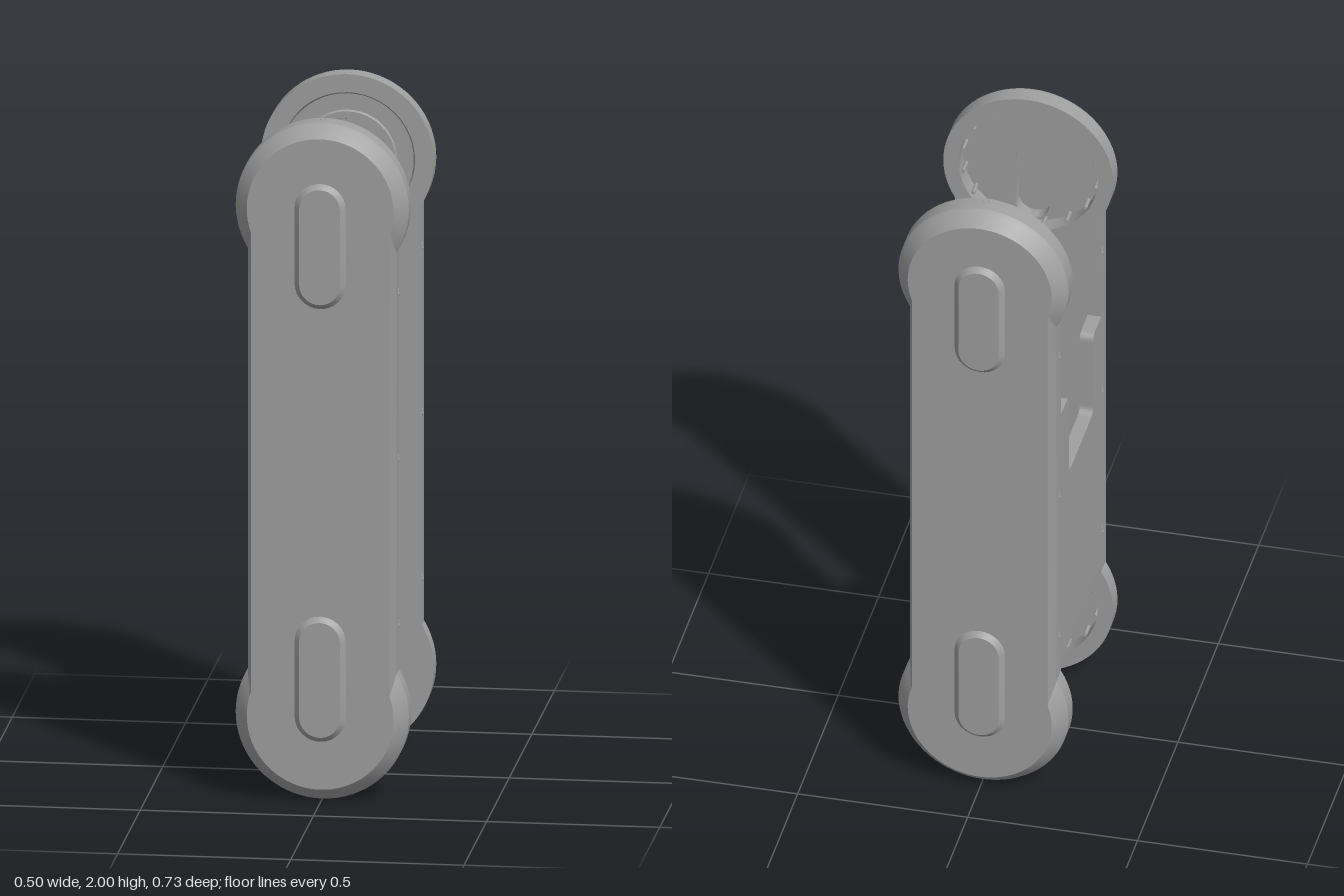
import * as THREE from 'three';
import { toCreasedNormals, mergeVertices } from 'three/addons/utils/BufferGeometryUtils.js';

const R = 0.25, W = 0.215;          // end disc radius, bar half width
const DISC_Y = [0.25, 1.75];        // disc centres
const INNER = 0.25, FLOOR = 0.305, OUTER = 0.35, CAP = 0.365; // depths along z
const RECESS = 0.205;

const metal = new THREE.MeshStandardMaterial({ color: 0xa0a0a0, side: THREE.DoubleSide });
metal.name = 'grey metal';

function add(parent, name, geometry, x = 0, y = 0, z = 0) {
  const mesh = new THREE.Mesh(geometry, metal);
  mesh.name = name;
  mesh.position.set(x, y, z);
  parent.add(mesh);
  return mesh;
}

// Points of an arc, counter-clockwise
function arc(cx, cy, r, from, to, n) {
  return Array.from({ length: n + 1 }, (_, i) => {
    const a = from + (to - from) * i / n;
    return new THREE.Vector2(cx + r * Math.cos(a), cy + r * Math.sin(a));
  });
}

// Bar with a larger disc at each end
function armOutline(r, w) {
  const t = Math.acos(w / r);
  return [
    ...arc(0, DISC_Y[1], r, -t, Math.PI + t, 48),
    ...arc(0, DISC_Y[0], r, Math.PI - t, 2 * Math.PI + t, 48),
  ];
}

// Upright slot with round ends
function slotOutline(y0, y1, r) {
  return [...arc(0, y1 - r, r, 0, Math.PI, 16), ...arc(0, y0 + r, r, Math.PI, 2 * Math.PI, 16)];
}

// Wall through matching loops at given depths
function loft(loops) {
  const n = loops[0].pts.length, pos = [], index = [];
  loops.forEach(({ pts, z }) => pts.forEach(p => pos.push(p.x, p.y, z)));
  for (let k = 0; k < loops.length - 1; k++) {
    for (let i = 0; i < n; i++) {
      const a = k * n + i, b = k * n + (i + 1) % n;
      index.push(a, b, b + n, a, b + n, a + n);
    }
  }
  const g = new THREE.BufferGeometry();
  g.setAttribute('position', new THREE.Float32BufferAttribute(pos, 3));
  g.setIndex(index);
  return toCreasedNormals(mergeVertices(g), 0.4);
}

// Flat face with holes, facing outward (+z) or inward
function face(pts, holes = [], inward = false) {
  const shape = new THREE.Shape(pts);
  shape.holes = holes.map(h => new THREE.Path(h));
  const g = new THREE.ShapeGeometry(shape);
  if (inward) {
    const ix = g.index.array;
    for (let i = 0; i < ix.length; i += 3) [ix[i], ix[i + 1]] = [ix[i + 1], ix[i]];
    g.computeVertexNormals();
  }
  return g;
}

function turned(profile) {
  const g = new THREE.LatheGeometry(profile.map(p => new THREE.Vector2(...p)), 48);
  g.rotateX(Math.PI / 2);
  return toCreasedNormals(g, 0.4);
}

function makeArm(name) {
  const arm = new THREE.Group();
  arm.name = name;
  const circle = (y, r) => arc(0, y, r, 0, 2 * Math.PI, 48).slice(0, -1);

  // Shell: straight rim, then chamfer to the outer face
  add(arm, 'armShell', loft([
    { pts: armOutline(R, W), z: INNER },
    { pts: armOutline(R, W), z: 0.304 },
    { pts: armOutline(0.244, 0.213), z: 0.315 },
    { pts: armOutline(0.212, 0.2), z: OUTER },
  ]));
  add(arm, 'outerFace', face(armOutline(0.212, 0.2)), 0, 0, OUTER);
  add(arm, 'innerFace', face(armOutline(R, W), DISC_Y.map(y => circle(y, RECESS)), true), 0, 0, INNER);

  DISC_Y.forEach((cy, k) => {
    // Raised oblong cover outside
    const [y0, y1] = k ? [1.46, 1.83] : [0.18, 0.55];
    const top = slotOutline(y0 + 0.015, y1 - 0.015, 0.059);
    add(arm, 'slotCover', loft([
      { pts: slotOutline(y0, y1, 0.074), z: OUTER },
      { pts: top, z: CAP },
    ]));
    add(arm, 'slotCoverFace', face(top), 0, 0, CAP);

    // Round recess inside with a slot pocket in its floor
    const pocket = k ? slotOutline(1.55, 1.805, 0.05) : slotOutline(0.205, 0.45, 0.05);
    add(arm, 'recessWall', loft([
      { pts: circle(cy, RECESS), z: INNER }, { pts: circle(cy, RECESS), z: FLOOR },
    ]));
    add(arm, 'recessFloor', face(circle(cy, RECESS), [pocket], true), 0, 0, FLOOR);
    add(arm, 'pocketWall', loft([{ pts: pocket, z: FLOOR }, { pts: pocket, z: 0.345 }]));
    add(arm, 'pocketFloor', face(pocket, [], true), 0, 0, 0.345);

    // Small pegs around the recess rim
    for (let i = 0; i < 16; i++) {
      const a = (i + 0.5) / 16 * 2 * Math.PI;
      const peg = new THREE.CylinderGeometry(0.006, 0.006, 0.045, 8).rotateX(Math.PI / 2);
      add(arm, 'rimPeg', peg, 0.198 * Math.cos(a), cy + 0.198 * Math.sin(a), 0.2825);
    }
    // End screw
    const endScrew = new THREE.TorusGeometry(0.009, 0.003, 6, 16).rotateX(Math.PI / 2);
    add(arm, 'endScrew', endScrew, 0, k ? 1.998 : 0.002, 0.268);
  });

  // Screws along both long edges
  for (const side of [-1, 1]) for (const y of [0.515, 1.005, 1.495]) {
    const screw = new THREE.TorusGeometry(0.009, 0.003, 6, 16).rotateY(Math.PI / 2);
    add(arm, 'edgeScrew', screw, side * (W - 0.001), y, 0.266);
  }
  return arm;
}

function addBoltCircle(parent, cy, r, z) {
  for (let i = 0; i < 8; i++) {
    const a = i / 8 * 2 * Math.PI;
    const bolt = new THREE.CylinderGeometry(0.009, 0.009, 0.008, 10).rotateX(Math.PI / 2);
    add(parent, 'bolt', bolt, r * Math.cos(a), cy + r * Math.sin(a), z);
  }
}

// Web joining the arms, notched at the top and bevelled at the bottom
function makeWeb() {
  const web = new THREE.Group();
  web.name = 'web';
  const s = new THREE.Shape();
  const top = 1.275, notch = 1.005, f = 0.025, h = 0.15;
  s.moveTo(-INNER, 0.445);
  s.lineTo(INNER, 0.445);
  s.lineTo(INNER, top);
  s.lineTo(h + f, top);
  s.quadraticCurveTo(h, top, h, top - f);
  s.lineTo(h, notch + f);
  s.quadraticCurveTo(h, notch, h - f, notch);
  s.lineTo(-h + f, notch);
  s.quadraticCurveTo(-h, notch, -h, notch + f);
  s.lineTo(-h, top - f);
  s.quadraticCurveTo(-h, top, -h - f, top);
  s.lineTo(-INNER, top);
  s.closePath();
  const plate = new THREE.ExtrudeGeometry(s, { depth: 0.04, bevelEnabled: false, curveSegments: 6 });
  plate.rotateY(Math.PI / 2);
  add(web, 'webPlate', plate, -W, 0, 0);

  const wedge = new THREE.Shape([
    new THREE.Vector2(-W, 0.408), new THREE.Vector2(-W + 0.04, 0.445), new THREE.Vector2(-W, 0.445),
  ]);
  add(web, 'webBevel', new THREE.ExtrudeGeometry(wedge, { depth: 2 * INNER, bevelEnabled: false }), 0, 0, -INNER);
  return web;
}

export function createModel() {
  const model = new THREE.Group();
  model.name = 'linkFrame';

  const front = makeArm('frontArm');
  const back = makeArm('backArm');
  back.rotation.y = Math.PI;

  // Drive hub in the lower back recess
  add(back, 'driveHub', turned([[0.205, 0.254], [0.12, 0.254], [0.115, 0.25], [0.1, 0.25],
    [0.094, 0.257], [0.085, 0.257], [0.085, FLOOR]]), 0, DISC_Y[0], 0);
  addBoltCircle(back, DISC_Y[0], 0.14, 0.254);

  // Bearing ring in the upper back recess
  add(back, 'bearingRing', turned([[0.205, 0.256], [0.195, 0.256], [0.19, 0.264], [0.142, 0.264],
    [0.138, 0.257], [0.118, 0.257], [0.114, 0.272], [0.105, 0.272], [0.105, FLOOR]]), 0, DISC_Y[1], 0);
  addBoltCircle(back, DISC_Y[1], 0.128, 0.257);

  model.add(front, back, makeWeb());
  return model;
}
